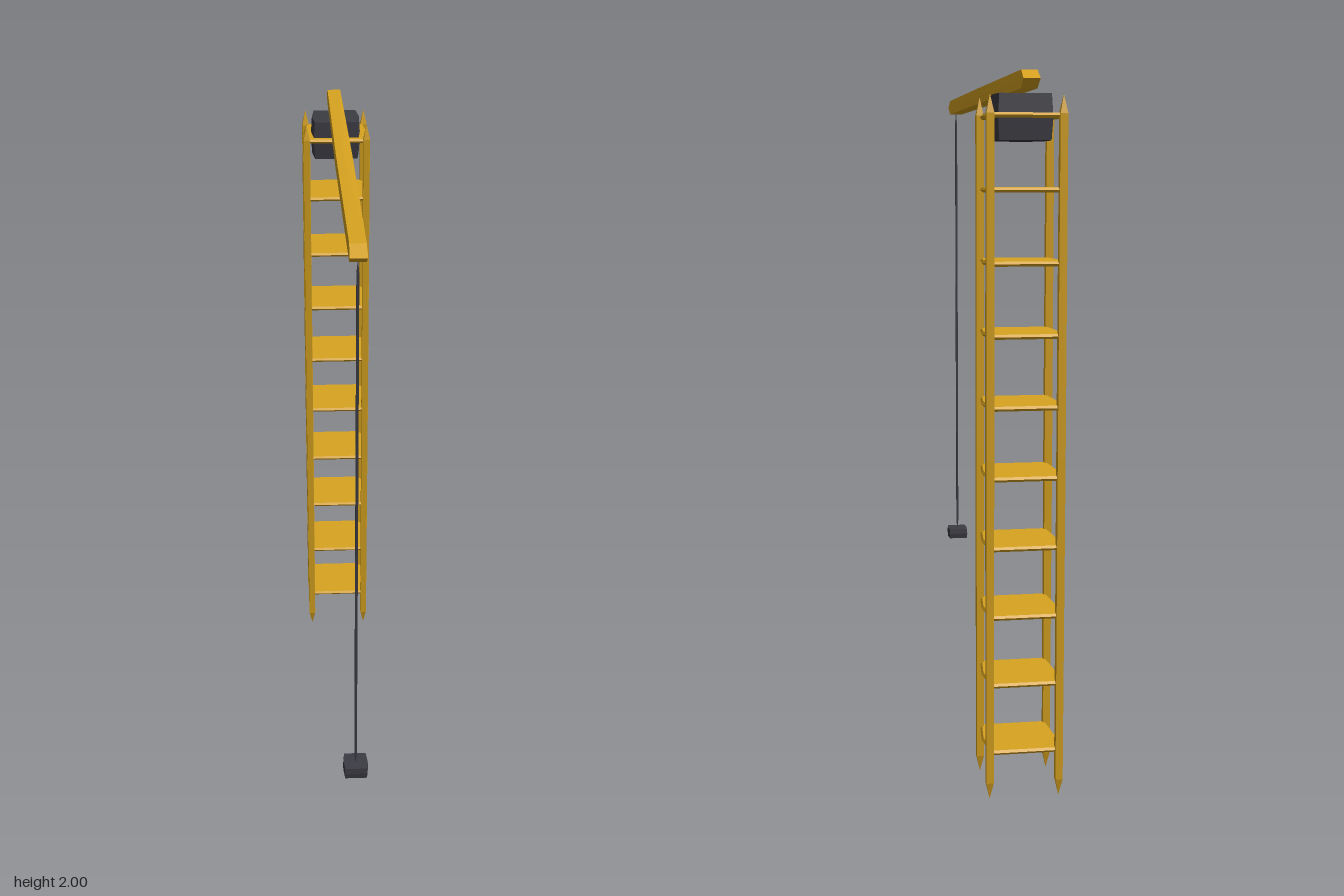
import * as THREE from 'three';

const yellow = new THREE.MeshStandardMaterial({ color: 0xd9a420 });
yellow.name = 'craneYellow';
const dark = new THREE.MeshStandardMaterial({ color: 0x3c3c44 });
dark.name = 'darkSteel';

// Faceted block: a six-sided, four-ring sphere pushed out almost to a box
function blockGeometry() {
  const g = new THREE.SphereGeometry(1, 6, 4);
  const p = g.attributes.position;
  const puff = (v) => (Math.abs(v) < 1e-5 ? 0 : Math.sign(v) * Math.abs(v) ** 0.15);
  for (let i = 0; i < p.count; i++) {
    p.setXYZ(i, puff(p.getX(i)), puff(p.getY(i)), puff(p.getZ(i)));
  }
  const flat = g.toNonIndexed();
  flat.computeVertexNormals();
  return flat;
}

export function createModel() {
  const root = new THREE.Group();
  root.name = 'towerCrane';
  const unit = blockGeometry();

  // Half sizes (hx, hy, hz) about a centre
  function block(parent, name, material, [x, y, z], [hx, hy, hz]) {
    const geometry = unit.clone().scale(hx, hy, hz);
    geometry.computeVertexNormals();
    const mesh = new THREE.Mesh(geometry, material);
    mesh.name = name;
    mesh.position.set(x, y, z);
    parent.add(mesh);
  }

  // Mast: four pointed posts and ten decks
  const mast = new THREE.Group();
  mast.name = 'mast';
  mast.position.z = -0.647;
  root.add(mast);
  for (const sx of [-1, 1]) {
    for (const sz of [-1, 1]) {
      block(mast, 'post', yellow, [sx * 0.098, 0.97, sz * 0.098], [0.012, 0.97, 0.012]);
    }
  }
  for (let i = 0; i < 10; i++) {
    block(mast, 'deck', yellow, [0, 0.135 + i * 0.1945, 0], [0.107, 0.007, 0.107]);
  }

  // Slewing block at the mast head
  block(mast, 'mastHead', dark, [0, 1.882, 0], [0.082, 0.064, 0.083]);

  // Jib, hoist cable and hook block
  block(root, 'jib', yellow, [0, 1.975, 0], [0.025, 0.025, 0.838]);
  block(root, 'cable', dark, [0, 1.18, 0.777], [0.004, 0.78, 0.004]);
  block(root, 'hookBlock', dark, [0, 0.392, 0.777], [0.037, 0.018, 0.038]);

  return root;
}
